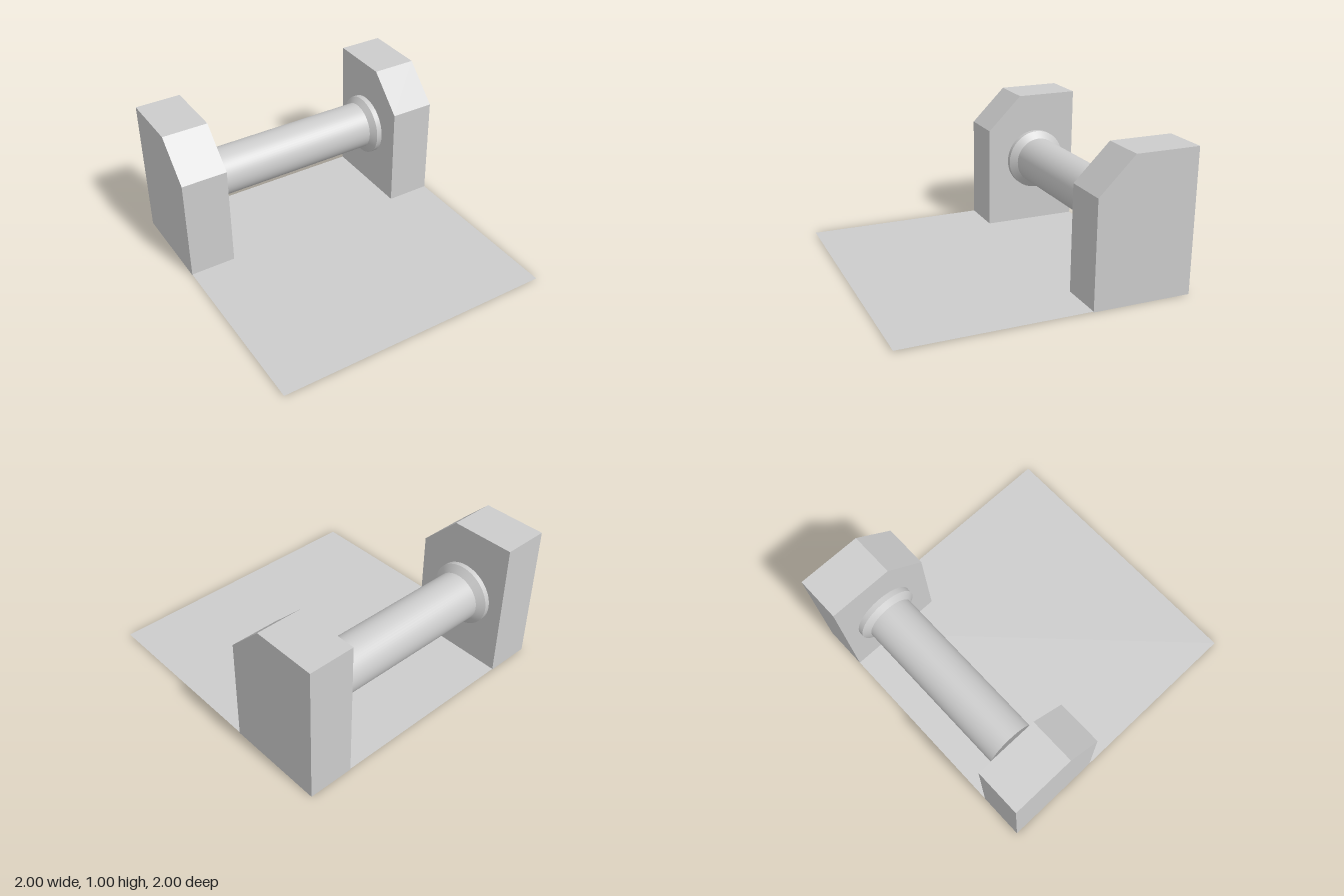
import * as THREE from 'three';
import { toCreasedNormals } from 'three/addons/utils/BufferGeometryUtils.js';

const paleGrey = new THREE.MeshStandardMaterial({ color: 0xcccccc, side: THREE.DoubleSide });
paleGrey.name = 'paleGrey';

function addPart(group, name, geometry) {
  const mesh = new THREE.Mesh(geometry, paleGrey);
  mesh.name = name;
  group.add(mesh);
  return mesh;
}

// Upright block with a chamfered front top edge, spanning x0 to x1
function blockGeometry(x0, x1) {
  const profile = new THREE.Shape(
    [[0.3, 0], [1, 0], [1, 1], [0.55, 1], [0.3, 0.75]].map(([x, y]) => new THREE.Vector2(x, y))
  );
  const geometry = new THREE.ExtrudeGeometry(profile, { depth: x1 - x0, bevelEnabled: false });
  return geometry.rotateY(Math.PI / 2).translate(x0, 0, 0);
}

// Round bar with a flange at each end; its shaft rises slightly to the left
function barGeometry() {
  const profile = [
    [0.222, -0.675], [0.222, -0.64], [0.173, -0.6],
    [0.173, 0.605], [0.222, 0.64], [0.222, 0.68],
  ].map(([r, x]) => new THREE.Vector2(r, x));
  const geometry = new THREE.LatheGeometry(profile, 64).rotateZ(-Math.PI / 2);
  const position = geometry.attributes.position;
  for (let i = 0; i < position.count; i++) {
    const x = position.getX(i);
    if (x > 0.6 && x < 0.62) position.setY(i, position.getY(i) + 0.007);
  }
  return toCreasedNormals(geometry.translate(0, 0.5, -0.675), 0.5);
}

export function createModel() {
  const model = new THREE.Group();
  model.name = 'barOnBlocks';

  // Thin floor sheet, just above the block undersides
  const floor = new THREE.PlaneGeometry(2, 2).rotateX(-Math.PI / 2);
  addPart(model, 'floorSheet', floor).position.y = 0.006;

  // End blocks
  addPart(model, 'rightBlock', blockGeometry(-1, -0.675));
  addPart(model, 'leftBlock', blockGeometry(0.68, 1));

  // Bar between the blocks
  addPart(model, 'flangedBar', barGeometry());

  return model;
}
